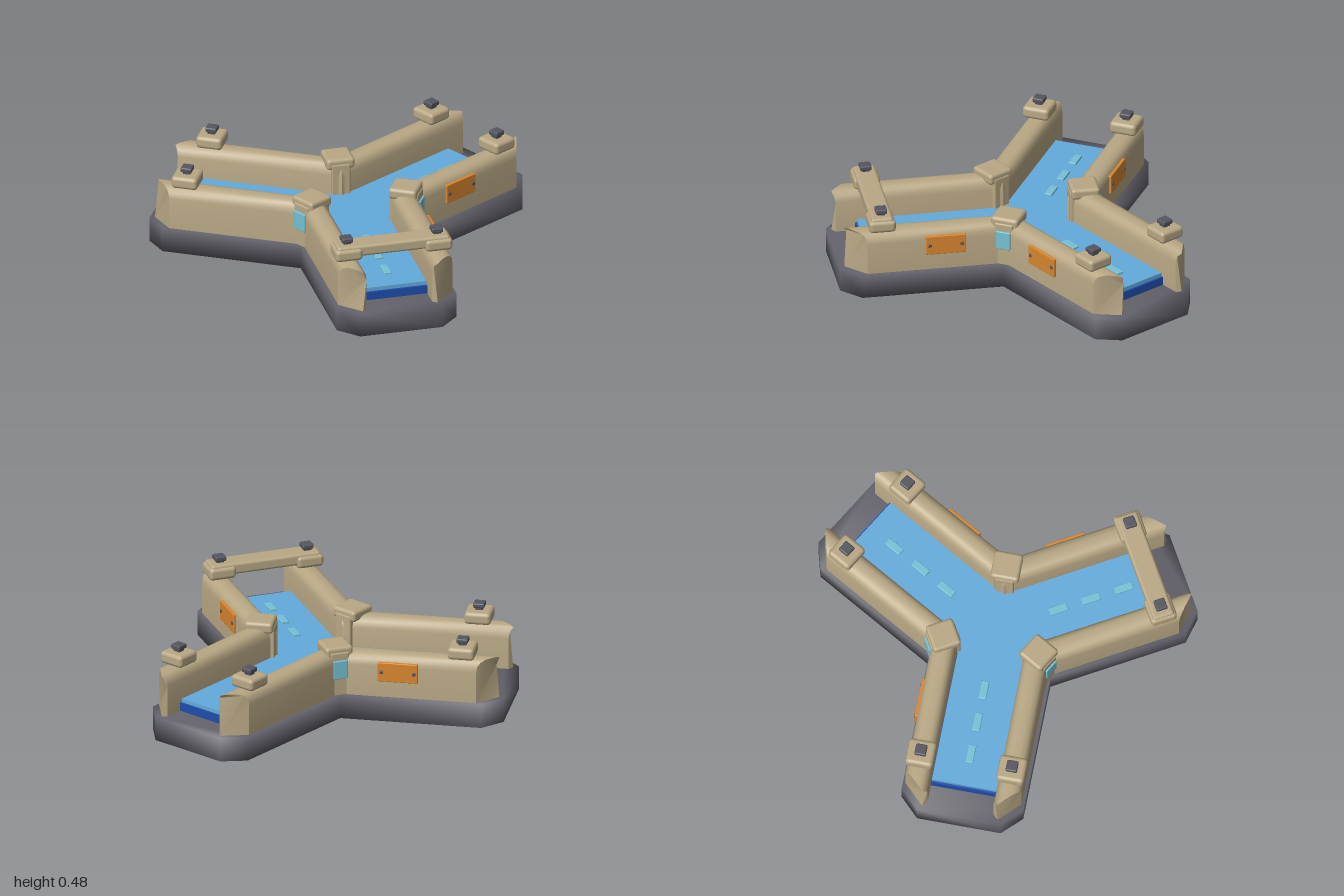
import * as THREE from 'three';
import { mergeVertices, toCreasedNormals } from 'three/addons/utils/BufferGeometryUtils.js';
import { RoundedBoxGeometry } from 'three/addons/geometries/RoundedBoxGeometry.js';

const paint = (name, color) => {
  const m = new THREE.MeshStandardMaterial({ color });
  m.name = name;
  return m;
};
const THIRD = (Math.PI * 2) / 3;
const TAN30 = Math.tan(Math.PI / 6);

export function createModel() {
  const tan = paint('sandstone', 0xb9a885);
  const gray = paint('foundation gray', 0x63626b);
  const steel = paint('bolt gray', 0x555560);
  const water = paint('light blue', 0x63abdd);
  const deep = paint('deep blue', 0x1f4cab);
  const cyan = paint('pale cyan', 0x76c1d6);
  const orange = paint('orange', 0xd9862f);

  const model = new THREE.Group();
  model.name = 'threeWayChannel';
  // the junction of the three arms is the local origin
  const hub = new THREE.Group();
  hub.name = 'junction';
  hub.position.z = -0.14;
  model.add(hub);

  const add = (parent, name, geometry, material, x = 0, y = 0, z = 0) => {
    const mesh = new THREE.Mesh(geometry, material);
    mesh.name = name;
    mesh.position.set(x, y, z);
    parent.add(mesh);
    return mesh;
  };
  const block = (parent, name, material, [w, h, d], [x, y, z], r = 0.004) =>
    add(parent, name, new RoundedBoxGeometry(w, h, d, 2, r), material, x, y, z);

  // Y-shaped slab: half width, arm length, end chamfer, height
  const ySlab = (w, length, chamfer, height) => {
    const pts = [];
    for (let i = 0; i < 3; i++) {
      const c = Math.cos(i * THIRD), s = Math.sin(i * THIRD);
      const ends = chamfer
        ? [[-w, length - chamfer], [chamfer - w, length], [w - chamfer, length], [w, length - chamfer]]
        : [[-w, length], [w, length]];
      for (const [lat, a] of [...ends, [w, w * TAN30]])
        pts.push(new THREE.Vector2(lat * c + a * s, lat * s - a * c));
    }
    const g = new THREE.ExtrudeGeometry(new THREE.Shape(pts), { depth: height, bevelEnabled: false });
    return g.rotateX(-Math.PI / 2);
  };

  // foundation with soft shading across its edges
  const base = ySlab(0.32, 1.025, 0.1, 0.13);
  base.deleteAttribute('normal');
  base.deleteAttribute('uv');
  const softBase = mergeVertices(base, 1e-4);
  softBase.computeVertexNormals();
  add(hub, 'foundation', softBase, gray);

  // channel bed and surface
  add(hub, 'channelBed', ySlab(0.18, 0.88, 0, 0.05), deep, 0, 0.125, 0);
  add(hub, 'channelSurface', ySlab(0.172, 0.87, 0, 0.021), water, 0, 0.175, 0);

  // wall: rounded cross-section, mitred at the junction and pointed at the far end
  const section = [
    [0.175, 0.125], [0.175, 0.3], [0.182, 0.335], [0.2, 0.355], [0.22, 0.36], [0.26, 0.36],
    [0.285, 0.35], [0.3, 0.33], [0.305, 0.3], [0.305, 0.125], [0.2, 0.125],
  ];
  const wallGeometry = (side) => {
    const shape = new THREE.Shape(section.map(([x, y]) => new THREE.Vector2(x * side, y)));
    const g = new THREE.ExtrudeGeometry(shape, { depth: 1, bevelEnabled: false });
    const p = g.attributes.position;
    for (let i = 0; i < p.count; i++) {
      const lat = Math.abs(p.getX(i));
      const end = lat < 0.2 ? 1 - (0.2 - lat) * 0.8 : 1 - (lat - 0.2) * 1.0;
      p.setZ(i, p.getZ(i) > 0.5 ? end : lat * TAN30);
    }
    return toCreasedNormals(g, 0.7);
  };

  for (let i = 0; i < 3; i++) {
    const arm = new THREE.Group();
    arm.name = ['frontArm', 'leftArm', 'rightArm'][i];
    arm.rotation.y = i * THIRD;
    hub.add(arm);
    const lift = i === 0 ? 0.01 : 0;

    for (const side of [1, -1]) {
      add(arm, 'wall', wallGeometry(side), tan);
      block(arm, 'wallCap', tan, [0.145, 0.066, 0.14], [side * 0.24, 0.397, 0.815], 0.02);
      block(arm, 'boltNeck', steel, [0.04, 0.03, 0.04], [side * 0.24, 0.435 + lift, 0.815]);
      block(arm, 'bolt', steel, [0.06, 0.026, 0.06], [side * 0.24, 0.455 + lift, 0.815], 0.007);
    }
    // lintel across the front arm only
    if (i === 0) block(arm, 'lintel', tan, [0.6, 0.062, 0.115], [0, 0.412, 0.815], 0.015);

    // lane dashes
    for (const a of [0.34, 0.518, 0.697])
      block(arm, 'laneDash', cyan, [0.04, 0.02, 0.098], [0, 0.197, a], 0.004);

    // bolted plate on one outer wall of each arm
    const side = i === 0 ? 1 : -1;
    block(arm, 'sidePlate', orange, [0.02, 0.105, 0.21], [side * 0.307, 0.272, 0.485]);
    for (const d of [-0.085, 0.085])
      block(arm, 'plateRivet', steel, [0.012, 0.018, 0.018], [side * 0.316, 0.272, 0.485 + d], 0.003);

    // corner post between this arm and the next
    const post = new THREE.Group();
    post.name = 'cornerPost';
    post.rotation.y = i * THIRD + Math.PI / 3;
    hub.add(post);
    block(post, 'postShaft', tan, [0.1, 0.24, 0.16], [0, 0.245, 0.291], 0.008);
    block(post, 'postCap', tan, [0.15, 0.06, 0.15], [0, 0.364, 0.29], 0.018);
    block(post, 'postPanel', cyan, [0.078, 0.1, 0.014], [0, 0.273, 0.374]);
  }
  return model;
}
